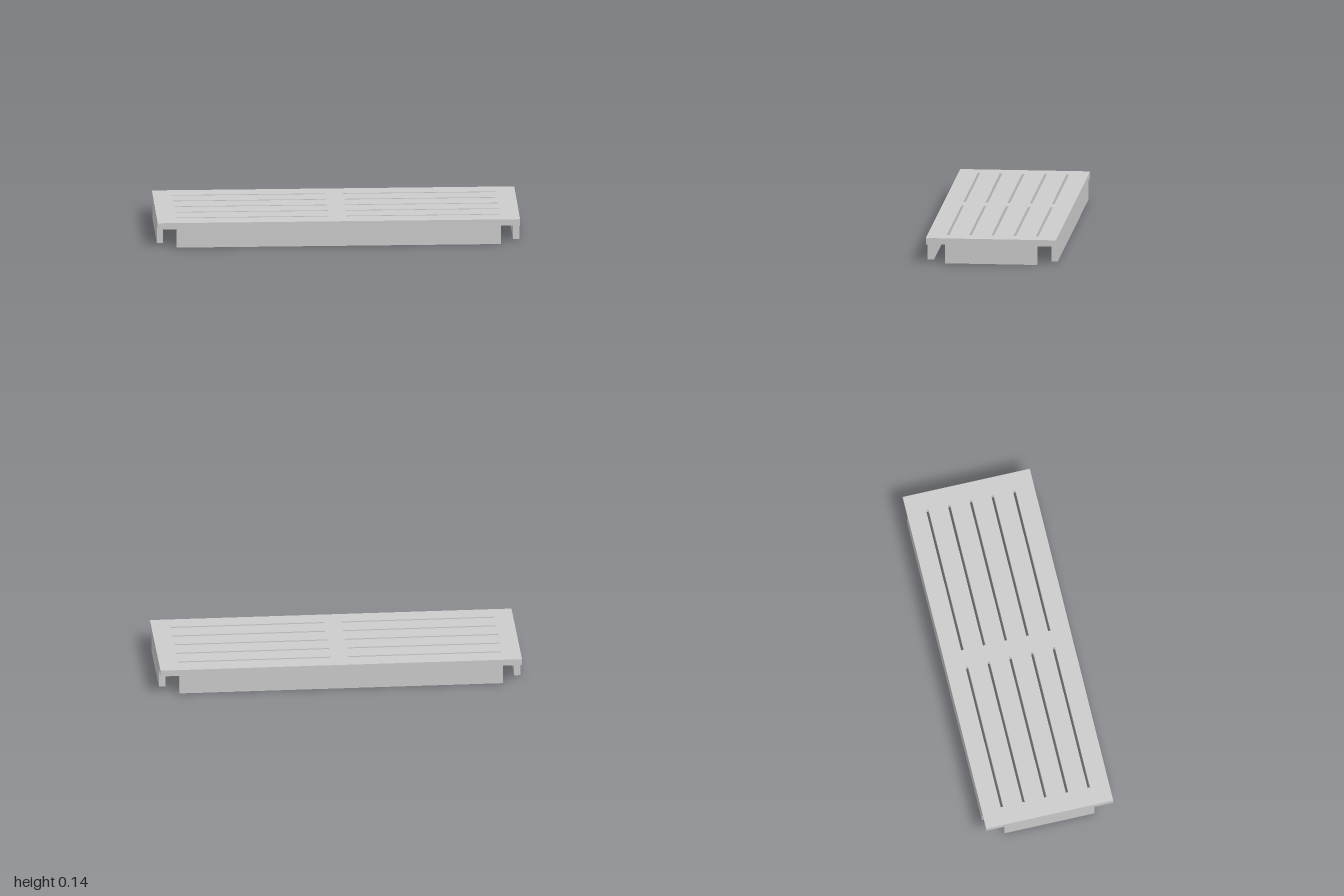
import * as THREE from 'three';

const W = 1, D = 0.36;          // half width and half depth
const WALL = 0.035;             // plate and skirt thickness
const UNDERSIDE = 0.105;        // height of the plate's underside

const rectangle = (path, x0, y0, x1, y1) =>
  path.moveTo(x0, y0).lineTo(x1, y0).lineTo(x1, y1).lineTo(x0, y1).closePath();

export function createModel() {
  const model = new THREE.Group();
  model.name = 'slottedTray';
  const material = new THREE.MeshStandardMaterial({ color: 0xcccccc });

  const add = (name, geometry) => {
    const mesh = new THREE.Mesh(geometry, material);
    mesh.name = name;
    model.add(mesh);
    return mesh;
  };

  // Top plate with two columns of five through slots
  const outline = new THREE.Shape();
  rectangle(outline, -W, -D, W, D);
  for (const x of [-0.895, 0.05]) {
    for (let row = -2; row <= 2; row++) {
      const slot = new THREE.Path();
      const z = row * 0.123;
      rectangle(slot, x, z - 0.007, x + 0.845, z + 0.007);
      outline.holes.push(slot);
    }
  }
  const plate = new THREE.ExtrudeGeometry(outline, { depth: WALL, bevelEnabled: false });
  plate.rotateX(-Math.PI / 2);
  add('topPlate', plate).position.y = UNDERSIDE;

  // Skirt walls flush with the plate's edges, leaving the corners open
  const longWall = new THREE.BoxGeometry(1.79, UNDERSIDE, WALL);
  const endWall = new THREE.BoxGeometry(WALL, UNDERSIDE, 0.51);
  for (const side of [1, -1]) {
    add(side > 0 ? 'frontSkirt' : 'backSkirt', longWall)
      .position.set(0, UNDERSIDE / 2, side * (D - WALL / 2));
    add(side > 0 ? 'leftSkirt' : 'rightSkirt', endWall)
      .position.set(side * (W - WALL / 2), UNDERSIDE / 2, 0);
  }

  return model;
}
